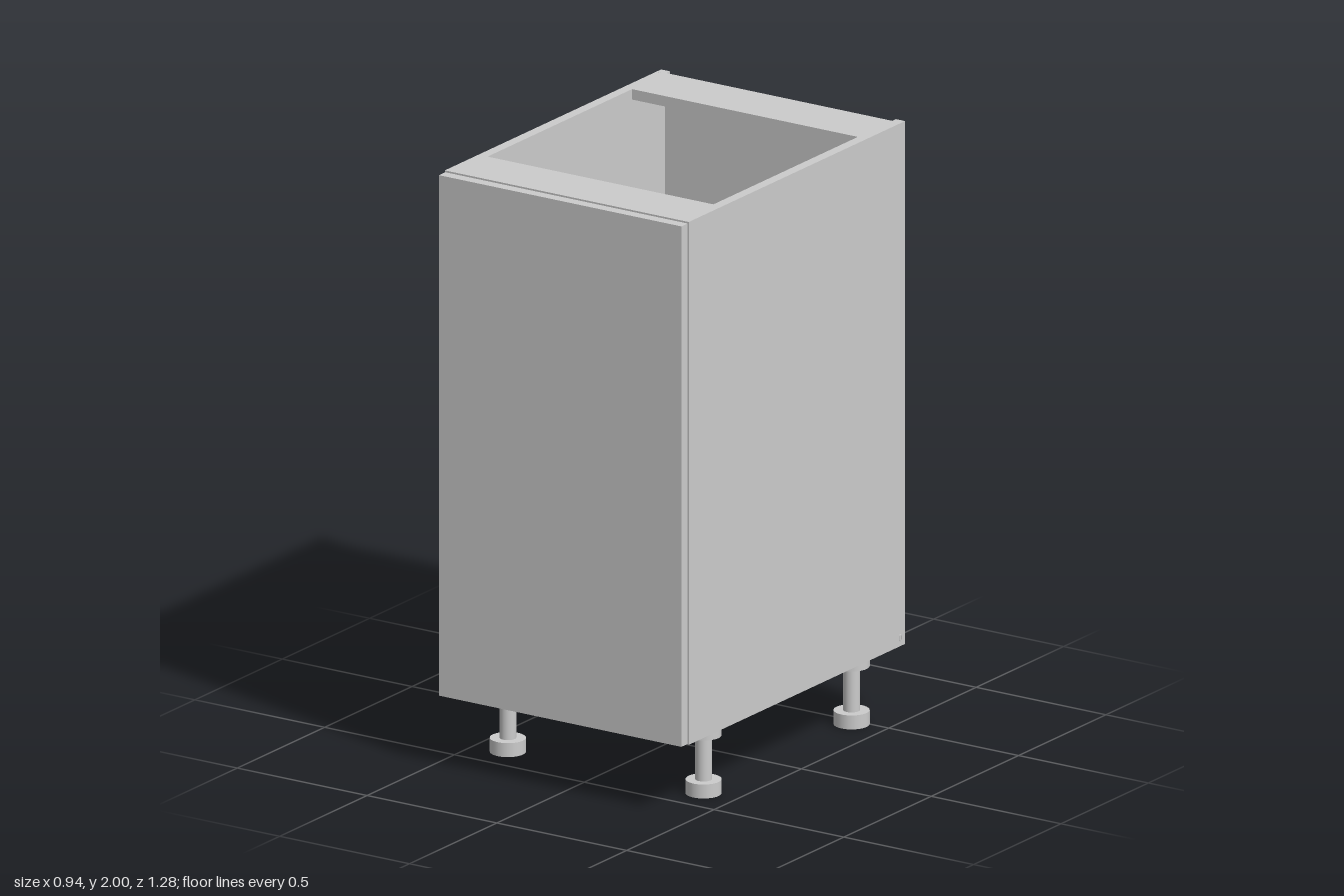
import * as THREE from 'three';

export function createModel() {
  const model = new THREE.Group();
  model.name = 'baseCabinet';
  const material = new THREE.MeshStandardMaterial({ color: 0xcccccc });

  const add = (name, geometry, x, y, z, parent = model) => {
    const mesh = new THREE.Mesh(geometry, material);
    mesh.name = name;
    mesh.position.set(x, y, z);
    parent.add(mesh);
    return mesh;
  };
  // Box given by its minimum and maximum on each axis
  const panel = (name, x0, x1, y0, y1, z0, z1) =>
    add(name, new THREE.BoxGeometry(x1 - x0, y1 - y0, z1 - z0),
      (x0 + x1) / 2, (y0 + y1) / 2, (z0 + z1) / 2);

  const W = 0.47, T = 0.035, IN = W - T;
  const BOTTOM = 0.24, TOP = 2, BACK = -0.638, FRONT = 0.6;

  // Carcass
  panel('leftSide', IN, W, BOTTOM, TOP, BACK, FRONT);
  panel('rightSide', -W, -IN, BOTTOM, TOP, BACK, FRONT);
  panel('floor', -IN, IN, BOTTOM, BOTTOM + T, BACK, FRONT);
  panel('backPanel', -IN, IN, BOTTOM + T, TOP - T, -0.617, -0.607);
  panel('backRail', -IN, IN, TOP - T, TOP, -0.617, -0.42);
  panel('frontRail', -IN, IN, TOP - T, TOP, 0.407, FRONT);

  // Door, slightly smaller than the carcass
  panel('door', -W + 0.003, W - 0.003, BOTTOM + 0.003, TOP - 0.005, FRONT + 0.002, 0.638);

  // Small fixing caps at the back corners: round on top, slotted on the sides
  for (const s of [-1, 1]) {
    add('topCap', new THREE.CylinderGeometry(0.006, 0.006, 0.002, 16), s * 0.457, TOP - 0.0005, -0.61);
    const slot = add('sideCap', new THREE.CapsuleGeometry(0.006, 0.013, 4, 12), s * W, 0.268, -0.61);
    slot.scale.x = 0.15;
  }

  // Adjustable legs
  for (const x of [-0.377, 0.377]) {
    for (const z of [-0.47, 0.377]) {
      const leg = new THREE.Group();
      leg.name = 'leg';
      leg.position.set(x, 0, z);
      model.add(leg);
      add('foot', new THREE.CylinderGeometry(0.058, 0.058, 0.047, 32), 0, 0.0235, 0, leg);
      add('post', new THREE.CylinderGeometry(0.027, 0.027, 0.16, 32), 0, 0.12, 0, leg);
      add('mount', new THREE.CylinderGeometry(0.058, 0.058, 0.045, 32), 0, 0.2175, 0, leg);
    }
  }
  return model;
}
